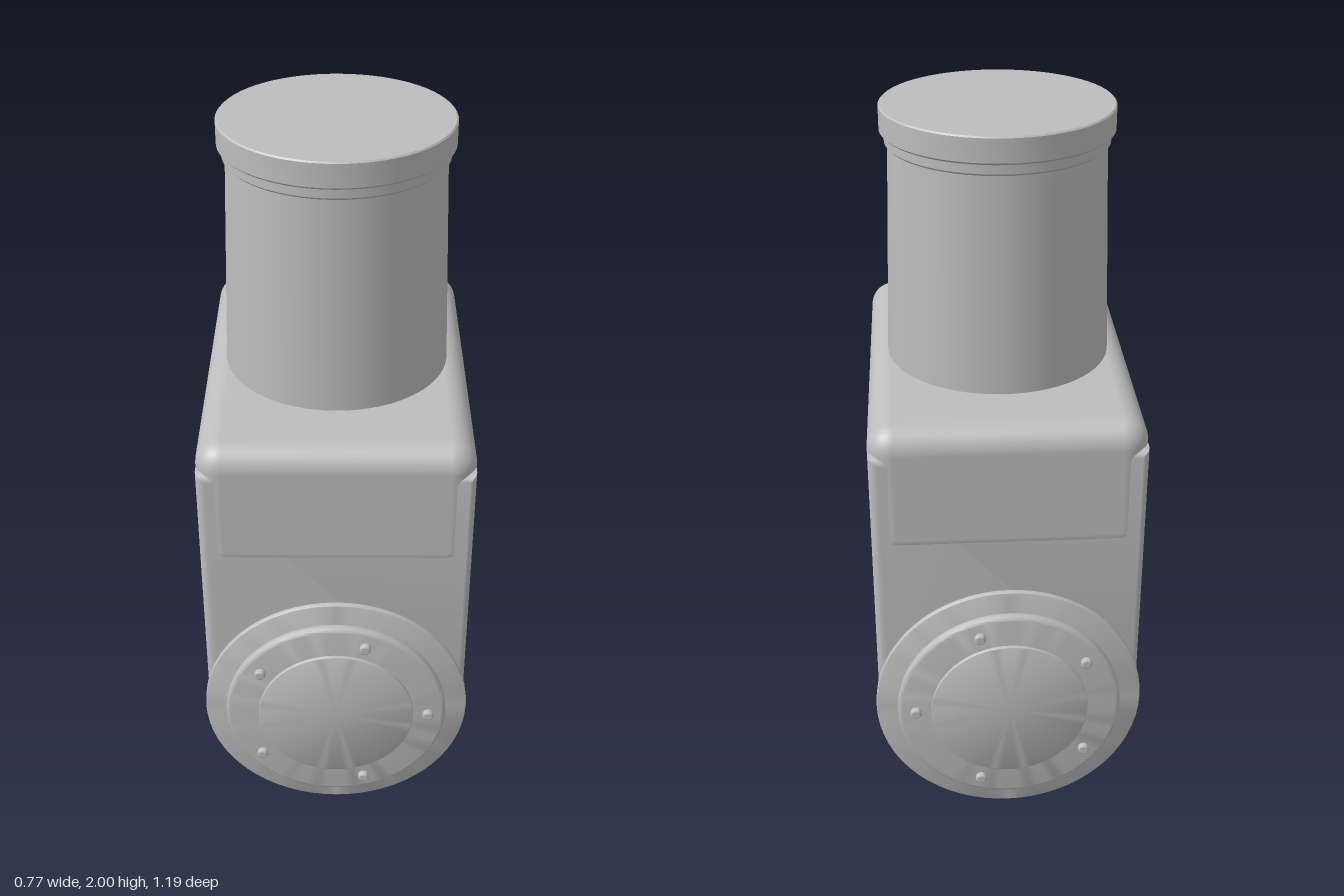
import * as THREE from 'three';
import { toCreasedNormals } from 'three/addons/utils/BufferGeometryUtils.js';
import { RoundedBoxGeometry } from 'three/addons/geometries/RoundedBoxGeometry.js';

const HUB_Y = 0.384;

export function createModel() {
  const model = new THREE.Group();
  model.name = 'forkJoint';
  const grey = new THREE.MeshStandardMaterial({ color: 0xbdbdbd });
  grey.name = 'plain grey';

  const add = (parent, name, geometry) => {
    const mesh = new THREE.Mesh(geometry, grey);
    mesh.name = name;
    parent.add(mesh);
    return mesh;
  };
  const lathe = (points, segments = 64) => toCreasedNormals(
    new THREE.LatheGeometry(points.map(([r, y]) => new THREE.Vector2(r, y)), segments), 0.6);
  // Disc lying along +z, with a rounded rim at the front and optionally at the back
  const disc = (r, z0, z1, round, segments = 64, roundBack = false) => {
    const points = roundBack ? [[0, z0]] : [[0, z0], [r, z0]];
    const arc = (from, centre) => {
      for (let i = 0; i <= 4; i++) {
        const a = from + (i / 4) * Math.PI / 2;
        points.push([r - round + round * Math.cos(a), centre + round * Math.sin(a)]);
      }
    };
    if (roundBack) arc(-Math.PI / 2, z0 + round);
    arc(0, z1 - round);
    points.push([0, z1]);
    return lathe(points, segments).rotateX(Math.PI / 2);
  };

  // Tapered column with its neck ring and top cap
  add(model, 'column', lathe([[0, 1.2], [0.322, 1.2], [0.321, 1.275], [0.301, 1.895], [0, 1.895]]));
  add(model, 'neckRing', lathe([[0, 1.892], [0.304, 1.892], [0.31, 1.898], [0.31, 1.926], [0, 1.926]]));
  add(model, 'topCap', lathe([[0, 1.925], [0.317, 1.925], [0.323, 1.931], [0.323, 1.996], [0.319, 2], [0, 2]]));

  // Crossbar of the fork
  add(model, 'crossbar', new RoundedBoxGeometry(0.756, 0.4, 1.064, 6, 0.07)).position.y = 1.075;

  // Arm outline: straight sides and a half-round lower end
  const outline = new THREE.Shape();
  const r = 0.376, bevel = 0.025;
  outline.moveTo(-r, 1.2);
  outline.lineTo(-r, HUB_Y);
  outline.absarc(0, HUB_Y, r, Math.PI, Math.PI * 2, false);
  outline.lineTo(r, 1.2);
  outline.closePath();
  const armGeometry = toCreasedNormals(new THREE.ExtrudeGeometry(outline, {
    depth: 0.095 - 2 * bevel, bevelThickness: bevel, bevelSize: bevel,
    bevelOffset: -bevel, bevelSegments: 5, curveSegments: 40,
  }).translate(0, 0, 0.435 + bevel), 0.6);

  const flange = disc(0.384, 0.528, 0.545, 0.004);
  const bearing = disc(0.322, 0.545, 0.577, 0.013, 64, true);
  const hubPlate = disc(0.226, 0.57, 0.587, 0.002);
  const bolt = disc(0.016, 0.57, 0.593, 0.006, 16);

  // Front and back arms, each with its bolted pivot cover
  for (const front of [true, false]) {
    const arm = new THREE.Group();
    arm.name = front ? 'frontArm' : 'backArm';
    add(arm, 'armPlate', armGeometry);
    const pivot = new THREE.Group();
    pivot.name = 'pivotCover';
    pivot.position.y = HUB_Y;
    add(pivot, 'flange', flange);
    add(pivot, 'bearing', bearing);
    add(pivot, 'hubPlate', hubPlate);
    for (let i = 0; i < 5; i++) {
      const a = (i / 5) * Math.PI * 2 + (front ? 0 : Math.PI);
      add(pivot, 'bolt', bolt).position.set(0.27 * Math.cos(a), 0.27 * Math.sin(a), 0);
    }
    arm.add(pivot);
    if (!front) arm.rotation.y = Math.PI;
    model.add(arm);
  }
  return model;
}
